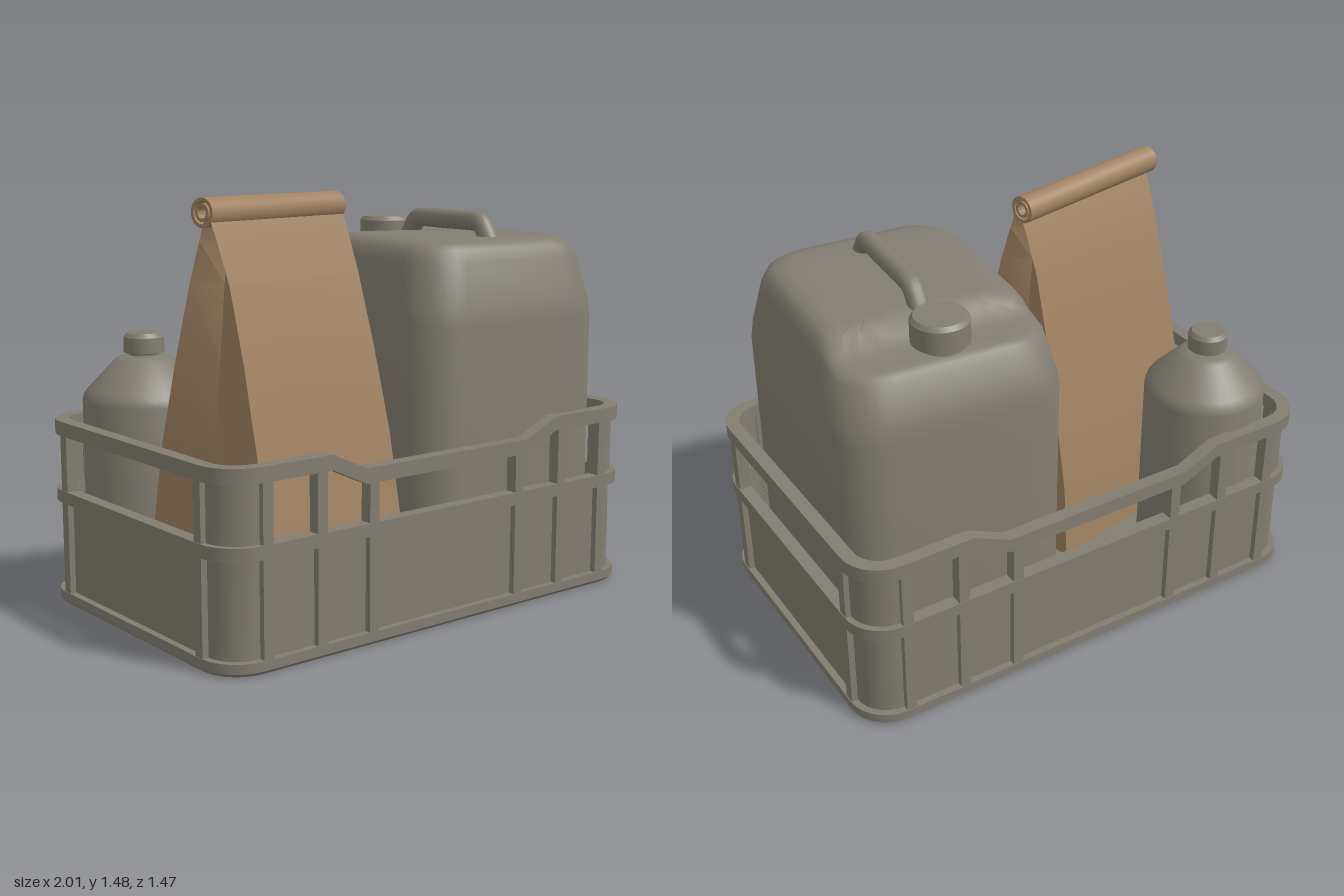
import * as THREE from 'three';
import { toCreasedNormals } from 'three/addons/utils/BufferGeometryUtils.js';

const clamp = THREE.MathUtils.clamp;
const plastic = new THREE.MeshStandardMaterial({ color: 0x827d71 });
plastic.name = 'grey plastic';
const paper = new THREE.MeshStandardMaterial({ color: 0xa08262 });
paper.name = 'brown paper';

function add(parent, name, geometry, material = plastic) {
  const mesh = new THREE.Mesh(geometry, material);
  mesh.name = name;
  parent.add(mesh);
  return mesh;
}

// Rounded rectangle outline with normals; optional extra points on the straight sides
function outline(hx, hz, r, extraX = [], extraZ = []) {
  const pts = [], n = 7;
  [[1, 1], [-1, 1], [-1, -1], [1, -1]].forEach(([sx, sz], k) => {
    for (let i = 0; i <= n; i++) {
      const t = (k + i / n) * Math.PI / 2, c = Math.cos(t), s = Math.sin(t);
      pts.push({ x: sx * (hx - r) + r * c, z: sz * (hz - r) + r * s, nx: c, nz: s, corner: k });
    }
    const up = k >= 2 ? 1 : -1;
    const side = [...(k % 2 ? extraZ : extraX)].sort((a, b) => (a - b) * up);
    for (const e of side) {
      if (k % 2) pts.push({ x: sx * hx, z: e, nx: sx, nz: 0 });
      else pts.push({ x: e, z: sz * hz, nx: 0, nz: sz });
    }
  });
  return pts;
}

// Skin a list of closed rings; either joins last to first or caps both ends
function loft(rings, loop = false, crease = 0.6) {
  const m = rings[0].length, pos = rings.flat(2), idx = [];
  const count = loop ? rings.length : rings.length - 1;
  for (let i = 0; i < count; i++) for (let j = 0; j < m; j++) {
    const i2 = (i + 1) % rings.length, j2 = (j + 1) % m;
    const a = i * m + j, b = i * m + j2, c = i2 * m + j2, d = i2 * m + j;
    idx.push(a, c, b, a, d, c);
  }
  if (!loop) [0, rings.length - 1].forEach((i) => {
    const mid = pos.length / 3;
    for (let k = 0; k < 3; k++) pos.push(rings[i].reduce((s, p) => s + p[k], 0) / m);
    for (let j = 0; j < m; j++) {
      const a = i * m + j, b = i * m + (j + 1) % m;
      if (i) idx.push(mid, b, a); else idx.push(mid, a, b);
    }
  });
  const g = new THREE.BufferGeometry();
  g.setAttribute('position', new THREE.Float32BufferAttribute(pos, 3));
  g.setIndex(idx);
  return toCreasedNormals(g, crease);
}

// Strip of rectangular section following an outline, inset from it
function band(pts, out, inn, y0, y1, loop, drop = () => 0) {
  return loft(pts.map((p) => {
    const d = drop(p.x);
    const at = (o, y) => [p.x - p.nx * o, y - d, p.z - p.nz * o];
    return [at(out, y1), at(out, y0), at(inn, y0), at(inn, y1)];
  }), loop);
}

function lathe(points) {
  const g = new THREE.LatheGeometry(points.map(([r, y]) => new THREE.Vector2(r, y)), 32);
  return toCreasedNormals(g, 0.5);
}

function buildCrate() {
  const crate = new THREE.Group();
  crate.name = 'crate';
  crate.rotation.y = -0.2;
  const HX = 0.93, HZ = 0.59;
  const pts = outline(HX, HZ, 0.145, [-0.51, -0.37, 0.37, 0.51]);
  const drop = (u) => 0.065 * (1 - clamp((Math.abs(u) - 0.37) / 0.14, 0, 1));

  // floor slab with a chamfered foot
  add(crate, 'crateFloor', loft([[0, 0.012], [0.012, 0], [0.045, 0]].map(([y, o]) =>
    pts.map((p) => [p.x - p.nx * o, y, p.z - p.nz * o]))));
  add(crate, 'lowerWall', band(pts, 0.025, 0.045, 0.03, 0.39, true));
  add(crate, 'middleRail', band(pts, 0, 0.048, 0.375, 0.42, true));
  add(crate, 'topRail', band(pts, 0, 0.05, 0.62, 0.672, true, drop));
  for (let k = 0; k < 4; k++) {
    add(crate, 'cornerPanel', band(pts.filter((p) => p.corner === k), 0.022, 0.042, 0.41, 0.63, false));
  }

  // upright posts on all four walls
  const post = (x, z, w, d, top) => {
    const g = new THREE.BoxGeometry(w, top - 0.03, d);
    g.translate(x, (top + 0.03) / 2, z);
    add(crate, 'post', g);
  };
  for (const s of [-1, 1]) for (const t of [-1, 1]) {
    for (const u of [0.335, 0.55, 0.765]) {
      post(s * u, t * (HZ - 0.025), 0.04, 0.044, 0.64 - drop(u));
    }
    post(s * (HX - 0.025), t * 0.43, 0.044, 0.04, 0.64);
  }
  return crate;
}

function buildCanister() {
  const can = new THREE.Group();
  can.name = 'canister';
  can.position.set(0.41, 0, 0.118);
  can.rotation.y = -0.28;

  // body with tapered shoulders and a lowered shelf for the spout
  const shelf = (y, z) => {
    const t = clamp((-z - 0.18) / 0.12, 0, 1);
    return y - 0.06 * t * t * (3 - 2 * t) * clamp((y - 1.2) / 0.11, 0, 1);
  };
  const levels = [
    [0.05, 0.04, 1], [0.09, 0, 1], [1.02, 0, 1], [1.08, 0.008, 1], [1.24, 0.045, 1],
    [1.28, 0.062, 1], [1.3, 0.085, 1], [1.31, 0.125, 1],
    [1.31, 0.125, 0.82], [1.31, 0.125, 0.68], [1.31, 0.125, 0.55], [1.31, 0.125, 0.4],
  ];
  add(can, 'canisterBody', loft(levels.map(([y, i, f]) =>
    outline(0.42 - i, 0.5 - i, 0.17 - 0.35 * i, [], [-0.22, -0.16, 0.1])
      .map((p) => [p.x * f, shelf(y, p.z * f), p.z * f])), false, 0.7));

  // carrying handle
  const path = new THREE.CatmullRomCurve3([
    [1.27, 0.325], [1.31, 0.3], [1.352, 0.268], [1.362, 0.235], [1.362, 0.06],
    [1.362, -0.09], [1.352, -0.125], [1.31, -0.16], [1.26, -0.19],
  ].map(([y, z]) => new THREE.Vector3(0, y, z)), false, 'catmullrom', 0.35);
  add(can, 'handle', new THREE.TubeGeometry(path, 48, 0.036, 14));

  // screw cap
  add(can, 'canisterCap', lathe([[0, 1.23], [0.085, 1.23], [0.085, 1.262], [0.1, 1.262],
    [0.1, 1.34], [0.088, 1.355], [0, 1.355]])).position.z = -0.33;
  return can;
}

function buildBottle() {
  const bottle = new THREE.Group();
  bottle.name = 'bottle';
  bottle.position.set(-0.57, 0, -0.45);
  add(bottle, 'bottleBody', lathe([[0, 0.046], [0.2, 0.046], [0.222, 0.07], [0.222, 0.74],
    [0.216, 0.765], [0.2, 0.785], [0.105, 0.885], [0.085, 0.895], [0.055, 0.9], [0, 0.9]]));
  add(bottle, 'bottleCap', lathe([[0, 0.89], [0.055, 0.89], [0.055, 0.905], [0.072, 0.91],
    [0.072, 0.965], [0.06, 0.98], [0, 0.98]]));
  return bottle;
}

function buildBag() {
  const bag = new THREE.Group();
  bag.name = 'paperBag';
  bag.position.set(-0.448, 0, 0.085);

  // tapering sack with side gussets: height, half width, half depth, gusset fold
  const levels = [[0.046, 0.335, 0.285, 0], [0.35, 0.338, 0.27, 0.012], [0.65, 0.338, 0.22, 0.03],
    [0.95, 0.328, 0.155, 0.05], [1.2, 0.322, 0.09, 0.07], [1.34, 0.325, 0.04, 0.08], [1.41, 0.328, 0.012, 0.02]];
  add(bag, 'bagBody', loft(levels.map(([y, w, d, f]) => [
    [w - f, y, 0], [w, y, d], [-w, y, d], [-w + f, y, 0], [-w, y, -d], [w, y, -d],
  ]), false, 0.5), paper);

  // rolled top, open at the ends
  const ring = (outer, inner) => {
    const s = new THREE.Shape().absarc(0, 0, outer, 0, Math.PI * 2);
    s.holes.push(new THREE.Path().absarc(0, 0, inner, 0, Math.PI * 2, true));
    const g = new THREE.ExtrudeGeometry(s, { depth: 0.66, bevelEnabled: false, curveSegments: 12 });
    g.translate(0, 0, -0.33);
    g.rotateY(Math.PI / 2);
    g.translate(0, 1.43, -0.022);
    return toCreasedNormals(g, 0.7);
  };
  add(bag, 'rolledTop', ring(0.049, 0.037), paper);
  add(bag, 'innerRoll', ring(0.03, 0.019), paper);
  return bag;
}

export function createModel() {
  const model = new THREE.Group();
  model.name = 'crateWithGoods';
  model.add(buildCrate(), buildCanister(), buildBottle(), buildBag());
  return model;
}
